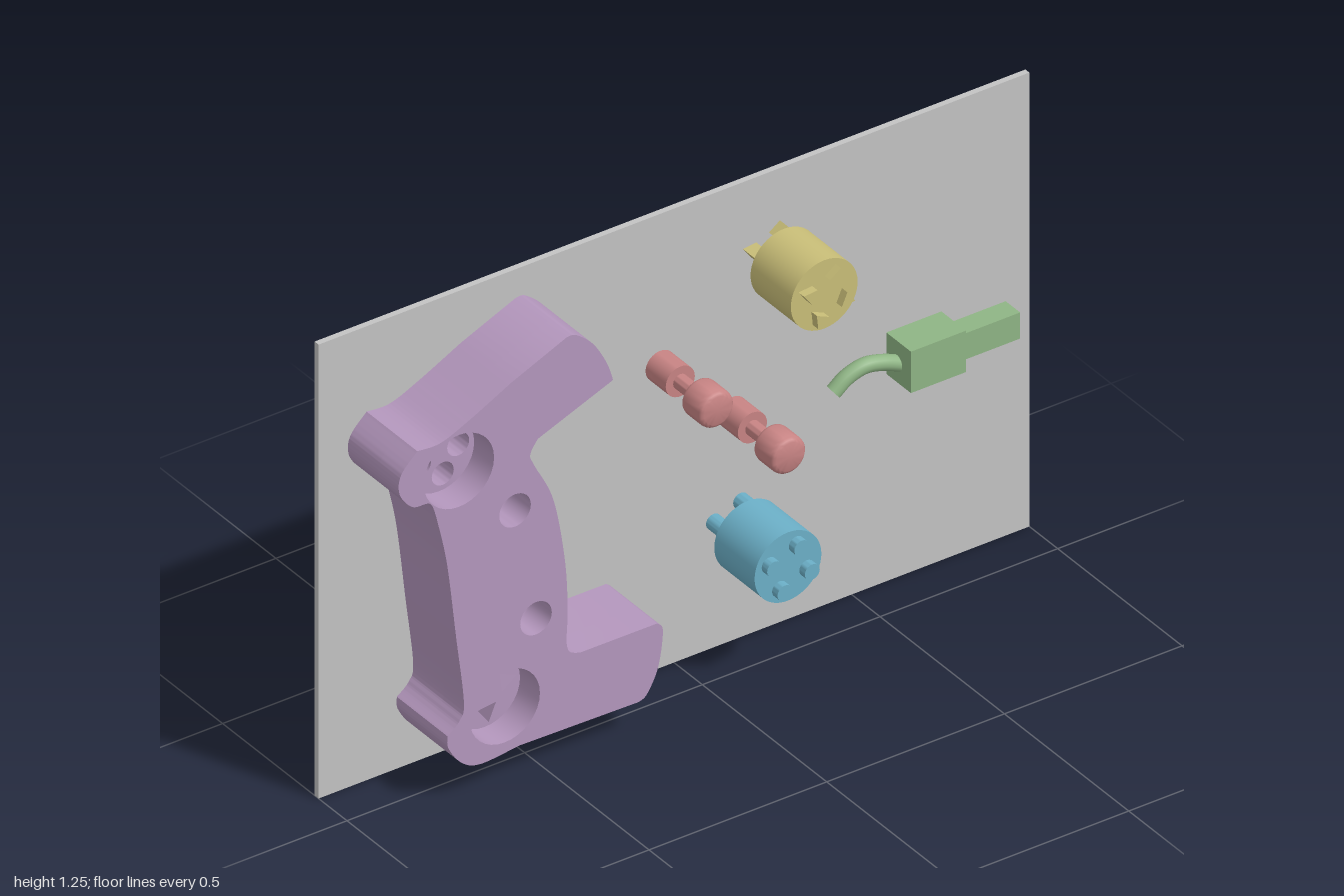
import * as THREE from 'three';
import { toCreasedNormals } from 'three/addons/utils/BufferGeometryUtils.js';

const mat = (name, color) => {
  const m = new THREE.MeshStandardMaterial({ color });
  m.name = name;
  return m;
};
const BACK = -0.114; // front surface of the board

export function createModel() {
  const purple = mat('purple', 0xb497bd), grey = mat('grey', 0xc3c3c3), yellow = mat('yellow', 0xc9be78);
  const blue = mat('blue', 0x6cb0c8), red = mat('red', 0xc88484), green = mat('green', 0x8fb585);
  const model = new THREE.Group();

  const add = (parent, name, geo, material, x = 0, y = 0, z = 0) => {
    const mesh = new THREE.Mesh(geo, material);
    mesh.name = name;
    mesh.position.set(x, y, z);
    parent.add(mesh);
    return mesh;
  };
  const group = (name, x = 0, y = 0) => {
    const g = new THREE.Group();
    g.name = name;
    g.position.set(x, y, 0);
    model.add(g);
    return g;
  };
  const extrude = (shape, z0, z1) => toCreasedNormals(
    new THREE.ExtrudeGeometry(shape, { depth: z1 - z0, bevelEnabled: false, curveSegments: 16 }).translate(0, 0, z0), 0.5);
  const circle = (x, y, r) => new THREE.Shape().absarc(x, y, r, 0, Math.PI * 2, false);
  // triangle with one corner pointing along angle a
  const triangle = (x, y, r, a) => new THREE.Shape([0, 1, 2].map(i => {
    const t = a + i * Math.PI * 2 / 3;
    return new THREE.Vector2(x + r * Math.cos(t), y + r * Math.sin(t));
  }));
  // four small outlines around a centre
  const ring = (x, y, dist, deg, make) => [0, 1, 2, 3].map(i => {
    const a = THREE.MathUtils.degToRad(deg + i * 90);
    return make(x + dist * Math.cos(a), y + dist * Math.sin(a), a);
  });

  // Board
  add(model, 'board', new THREE.BoxGeometry(2, 1.25, 0.016), grey, 0, 0.625, -0.122);

  // Bracket outline: splines for curved runs, lines between them
  const v = list => list.map(([x, y]) => new THREE.Vector2(x, y));
  const outline = () => {
    const s = new THREE.Shape();
    s.moveTo(-0.445, 1.171);
    s.splineThru(v([[-0.419, 1.168], [-0.371, 1.126], [-0.333, 1.061], [-0.314, 1.005]]));
    s.lineTo(-0.526, 0.922);
    s.splineThru(v([[-0.547, 0.887], [-0.536, 0.853], [-0.483, 0.741], [-0.451, 0.57], [-0.442, 0.43], [-0.446, 0.334]]));
    s.splineThru(v([[-0.437, 0.303], [-0.408, 0.289]]));
    s.lineTo(-0.19, 0.288);
    s.splineThru(v([[-0.174, 0.262], [-0.187, 0.168], [-0.218, 0.105], [-0.242, 0.091]]));
    s.lineTo(-0.579, 0.097);
    s.splineThru(v([[-0.686, 0.087], [-0.74, 0.11], [-0.777, 0.163], [-0.78, 0.198]]));
    s.splineThru(v([[-0.747, 0.227], [-0.734, 0.275], [-0.756, 0.463], [-0.782, 0.676], [-0.812, 0.815]]));
    s.splineThru(v([[-0.83, 0.857], [-0.878, 0.866], [-0.914, 0.912], [-0.911, 0.965], [-0.865, 1.015]]));
    s.splineThru(v([[-0.8, 1.013], [-0.72, 1.045], [-0.6, 1.105]]));
    s.closePath();
    return s;
  };
  const boltHoles = () => [circle(-0.59, 0.749, 0.0445), circle(-0.531, 0.43, 0.0445)];
  const bracket = group('bracket');
  const upper = [-0.748, 0.917], lower = [-0.619, 0.22];

  // Front layer carries the two wide sockets
  const front = outline();
  front.holes.push(...boltHoles(), circle(...upper, 0.099), circle(...lower, 0.099));
  add(bracket, 'bracketFront', extrude(front, 0.01, 0.09), purple);

  // Rear layer carries the small pin holes in the socket floors
  const rear = outline();
  rear.holes.push(...boltHoles(),
    ...ring(...upper, 0.055, 101, (x, y) => circle(x, y, 0.031)),
    ...ring(...lower, 0.06, 97, (x, y, a) => triangle(x, y, 0.03, a)));
  add(bracket, 'bracketRear', extrude(rear, BACK, 0.01), purple);

  // Round plugs with four pins passing through
  const plug = (name, x, y, material, pins) => {
    const g = group(name, x, y);
    add(g, 'plugBody', new THREE.CylinderGeometry(0.094, 0.094, 0.162, 48).rotateX(Math.PI / 2), material, 0, 0, 0.029);
    pins.forEach(p => add(g, 'plugPin', extrude(p, BACK, 0.132), material));
  };
  plug('roundPinPlug', 0.164, 0.323, blue, ring(0, 0, 0.058, 66, (x, y) => circle(x, y, 0.021)));
  plug('trianglePinPlug', 0.266, 1.034, yellow, ring(0, 0, 0.057, 66, (x, y, a) => triangle(x, y, 0.022, a)));

  // Push buttons: base, thin neck and rounded head in one turned profile
  const profile = v([[0, BACK], [0.041, BACK], [0.041, -0.033], [0.02, -0.033], [0.02, 0.038], [0.038, 0.038],
    [0.044, 0.04], [0.048, 0.044], [0.0495, 0.05], [0.0495, 0.103], [0.048, 0.11], [0.044, 0.115], [0.038, 0.118], [0, 0.118]]);
  [[-0.039, 0.832], [0.164, 0.629]].forEach(([x, y]) => add(model, 'button',
    toCreasedNormals(new THREE.LatheGeometry(profile, 32).rotateX(Math.PI / 2), 0.7), red, x, y));

  // Cable connector: housing, slim tongue and bent cable
  const connector = group('connector');
  add(connector, 'housing', new THREE.BoxGeometry(0.155, 0.114, 0.099), green, 0.675, 0.628, -0.0645);
  add(connector, 'tongue', new THREE.BoxGeometry(0.166, 0.072, 0.058), green, 0.835, 0.627, -0.063);
  const path = new THREE.CatmullRomCurve3([[0.43, 0.598, -0.088], [0.465, 0.627, -0.085], [0.51, 0.645, -0.079],
    [0.555, 0.64, -0.074], [0.61, 0.62, -0.069]].map(p => new THREE.Vector3(...p)));
  add(connector, 'cable', new THREE.TubeGeometry(path, 24, 0.02, 16), green);
  const cap = add(connector, 'cableEnd', new THREE.CircleGeometry(0.02, 16), green, 0.43, 0.598, -0.088);
  cap.lookAt(path.getPoint(0).sub(path.getTangent(0)));

  return model;
}
